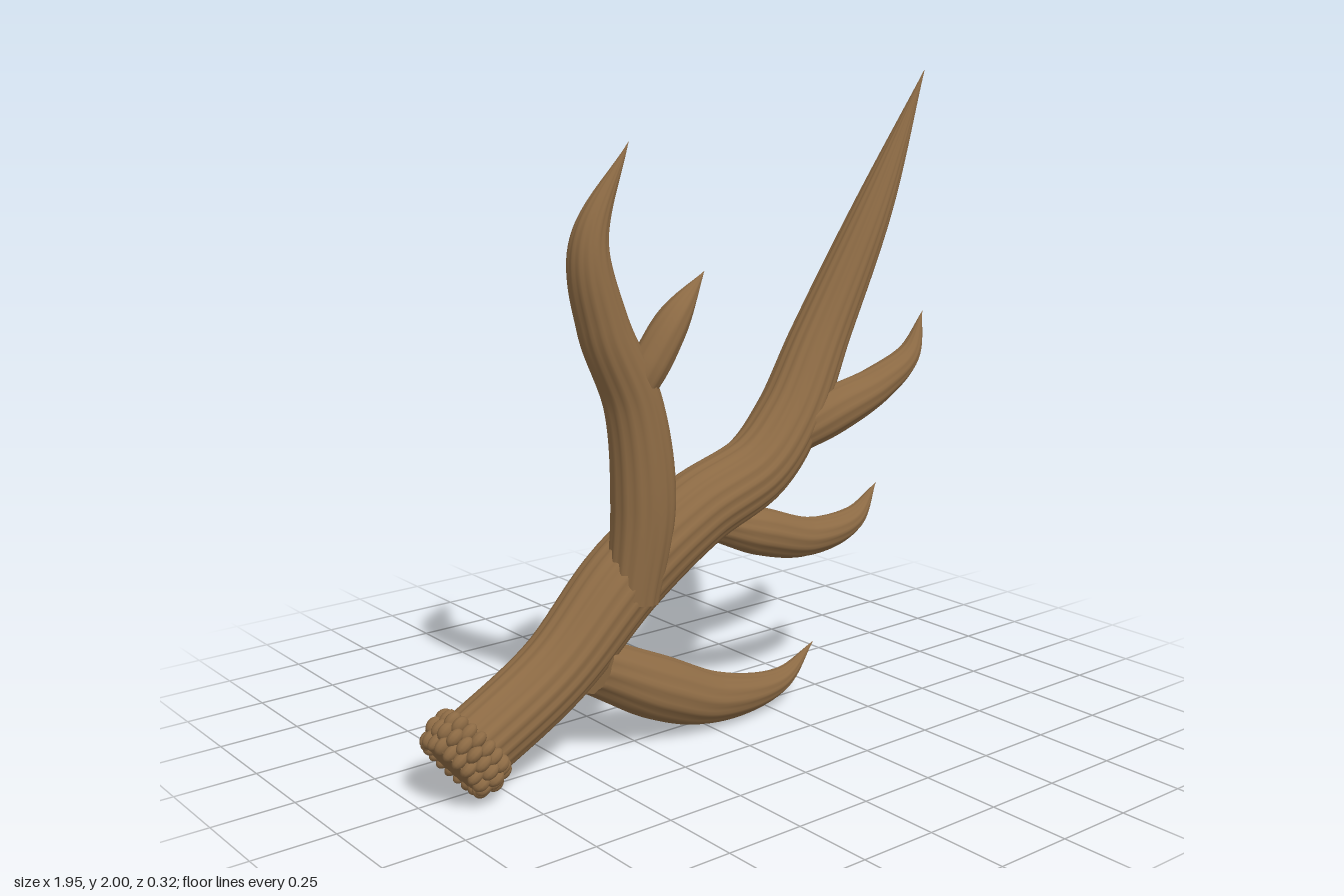
import * as THREE from 'three';

// Sweeps a ribbed, tapering horn along stations [x, y, z, radius].
function hornGeometry(ribs, stations, steps = 72) {
  const sides = ribs * 4;
  const path = new THREE.CatmullRomCurve3(stations.map(s => new THREE.Vector3(s[0], s[1], s[2])));
  const taper = new THREE.CatmullRomCurve3(
    stations.map((s, i) => new THREE.Vector3(s[3], i * 0.3, 0)), false, 'catmullrom', 0.5);
  const zAxis = new THREE.Vector3(0, 0, 1);
  const pos = [], index = [];
  for (let i = 0; i <= steps; i++) {
    const t = i / steps;
    const c = path.getPoint(t), tan = path.getTangent(t);
    const r = Math.max(taper.getPoint(t).x, 0.0005);
    const n = new THREE.Vector3().crossVectors(zAxis, tan).normalize();
    const b = new THREE.Vector3().crossVectors(tan, n).normalize();
    const twist = 1.5 * Math.sin(t * 5);
    for (let j = 0; j < sides; j++) {
      const a = (j / sides) * Math.PI * 2;
      // shallow grooves that wander a little along the length
      const k = r * (0.99 + 0.03 * Math.cos(ribs * a + twist) + 0.01 * Math.sin(3 * a + t * 6));
      const p = c.clone().addScaledVector(n, Math.cos(a) * k).addScaledVector(b, Math.sin(a) * k);
      pos.push(p.x, p.y, p.z);
    }
  }
  for (let i = 0; i < steps; i++) {
    for (let j = 0; j < sides; j++) {
      const a = i * sides + j, b = i * sides + (j + 1) % sides;
      index.push(a, b, a + sides, b, b + sides, a + sides);
    }
  }
  // flat root cap with its own ring, so its edge stays sharp
  const first = pos.length / 3;
  pos.push(...stations[0].slice(0, 3), ...pos.slice(0, sides * 3));
  for (let j = 0; j < sides; j++) index.push(first, first + 1 + (j + 1) % sides, first + 1 + j);
  const g = new THREE.BufferGeometry();
  g.setAttribute('position', new THREE.Float32BufferAttribute(pos, 3));
  g.setIndex(index);
  g.computeVertexNormals();
  return g;
}

// Knobbly burr, built along local y
function makeBurr(material) {
  const burr = new THREE.Group();
  burr.name = 'burr';
  const core = new THREE.Mesh(new THREE.CylinderGeometry(0.112, 0.108, 0.1, 40), material);
  core.name = 'burrCore';
  core.position.y = 0.05;
  burr.add(core);
  const beadShape = new THREE.SphereGeometry(1, 10, 8);
  const count = 20;
  [0.104, 0.116, 0.11].forEach((ring, row) => {
    for (let i = 0; i < count; i++) {
      const a = ((i + row * 0.5) / count) * Math.PI * 2;
      const bead = new THREE.Mesh(beadShape, material);
      bead.name = 'burrBead';
      bead.scale.set(0.022 * (1 + 0.2 * Math.sin(i * 2.4 + row * 1.7)), 0.029, 0.019);
      bead.position.set(Math.cos(a) * ring, 0.016 + row * 0.036, -Math.sin(a) * ring);
      bead.rotation.y = a;
      burr.add(bead);
    }
  });
  return burr;
}

export function createModel() {
  const group = new THREE.Group();
  group.name = 'antler';
  const horn = new THREE.MeshStandardMaterial({ color: 0x8c6a44 });
  horn.name = 'horn brown';

  const addHorn = (name, ribs, ...stations) => {
    const mesh = new THREE.Mesh(hornGeometry(ribs, stations), horn);
    mesh.name = name;
    group.add(mesh);
  };

  // Main beam
  addHorn('mainBeam', 18,
    [-0.88, 0.12, 0.02, 0.108], [-0.53, 0.29, -0.015, 0.114], [-0.25, 0.52, -0.035, 0.126],
    [0, 0.675, -0.025, 0.12], [0.24, 0.78, -0.01, 0.113], [0.39, 0.92, -0.025, 0.107],
    [0.55, 1.165, -0.052, 0.094], [0.775, 1.575, -0.045, 0.062], [0.97, 2, -0.025, 0]);

  // Tines along the lower side
  addHorn('browTine', 12,
    [-0.39, 0.275, 0, 0.085], [-0.18, 0.165, 0.025, 0.097], [0.02, 0.09, 0.045, 0.08],
    [0.3, 0.08, 0.045, 0.039], [0.46, 0.17, 0.03, 0]);
  addHorn('secondTine', 12,
    [0.09, 0.63, -0.01, 0.06], [0.23, 0.583, 0.02, 0.074], [0.42, 0.535, 0.037, 0.062],
    [0.62, 0.56, 0.037, 0.04], [0.738, 0.66, 0.025, 0]);
  addHorn('thirdTine', 12,
    [0.31, 0.845, 0, 0.055], [0.5, 0.925, 0.03, 0.076], [0.7, 1, 0.055, 0.06],
    [0.84, 1.085, 0.06, 0.038], [0.917, 1.22, 0.045, 0]);

  // Upper tine and its fork
  addHorn('upperTine', 14,
    [-0.27, 0.46, 0.02, 0.08], [-0.225, 0.75, 0.02, 0.096], [-0.25, 1.05, 0.01, 0.086],
    [-0.345, 1.29, -0.005, 0.076], [-0.385, 1.53, -0.013, 0.057], [-0.253, 1.81, 0, 0]);
  addHorn('forkTine', 10,
    [-0.27, 1.07, 0.02, 0.05], [-0.205, 1.18, 0.04, 0.058], [-0.12, 1.305, 0.046, 0.047],
    [0, 1.425, 0.03, 0]);

  // Burr around the root
  const burr = makeBurr(horn);
  burr.position.set(-0.9, 0.1, 0.022);
  burr.quaternion.setFromUnitVectors(new THREE.Vector3(0, 1, 0), new THREE.Vector3(0.8, 0.6, 0));
  group.add(burr);
  return group;
}
